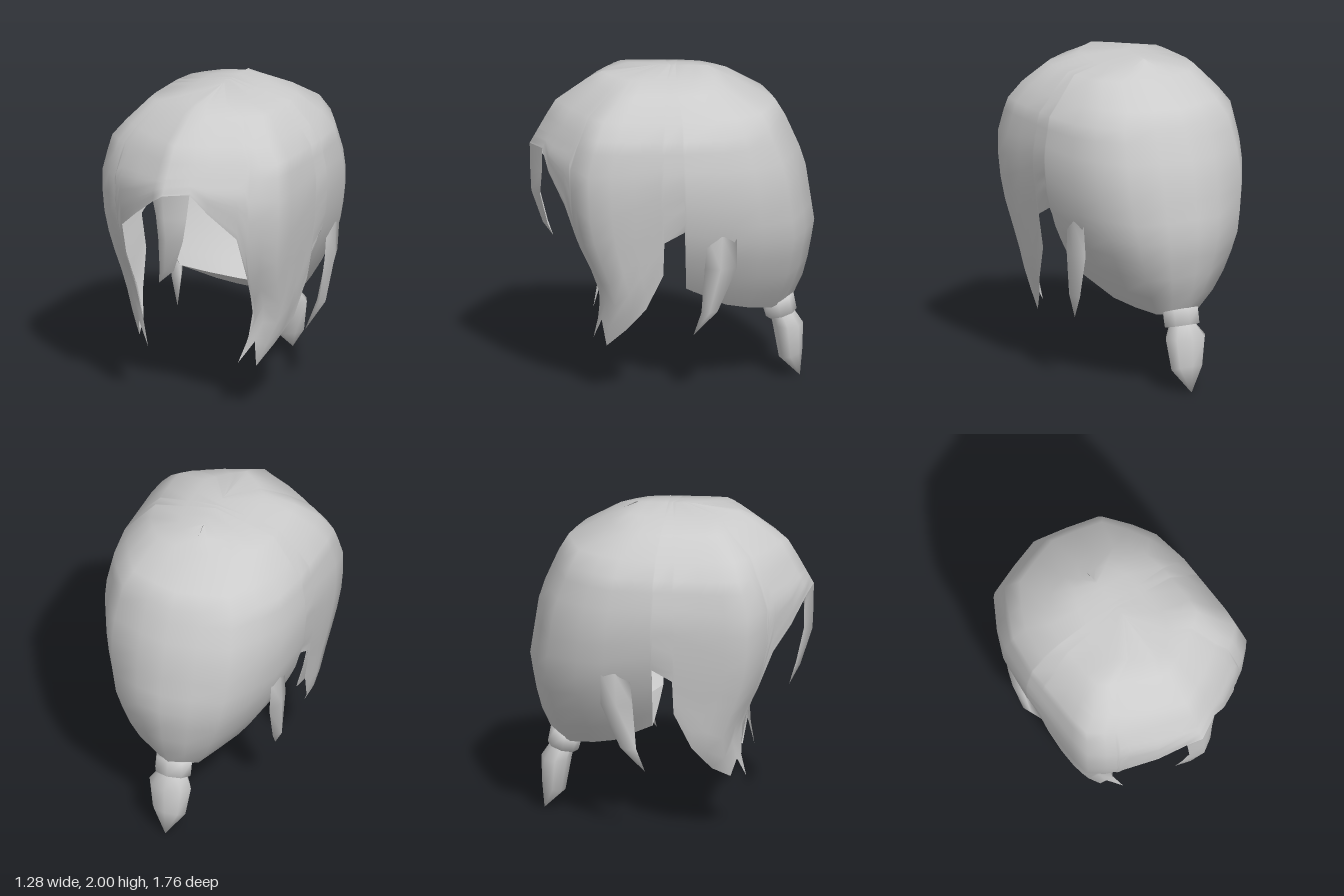
import * as THREE from 'three';
import { mergeVertices } from 'three/addons/utils/BufferGeometryUtils.js';

const material = new THREE.MeshStandardMaterial({ color: 0xcccccc, side: THREE.DoubleSide });

// Smooth surface through rows of points; closed joins the last column to the first.
function loft(name, rows, closed = false) {
  const n = rows[0].length, index = [];
  for (let i = 0; i < rows.length - 1; i++) {
    for (let j = 0; j < (closed ? n : n - 1); j++) {
      const k = (j + 1) % n;
      const a = i * n + j, b = i * n + k, c = a + n, d = b + n;
      index.push(a, c, b, b, c, d);
    }
  }
  let geometry = new THREE.BufferGeometry();
  geometry.setAttribute('position', new THREE.Float32BufferAttribute(rows.flat(2), 3));
  geometry.setIndex(index);
  geometry = mergeVertices(geometry, 1e-4);
  geometry.computeVertexNormals();
  const mesh = new THREE.Mesh(geometry, material);
  mesh.name = name;
  return mesh;
}

// Height, then half width and depth of the front half, then of the back half.
const profile = [
  [2, 0, 0.12, 0, 0.22],
  [1.96, 0.2, 0.44, 0.2, 0.3],
  [1.915, 0.4, 0.53, 0.4, 0.39],
  [1.78, 0.515, 0.72, 0.515, 0.64],
  [1.68, 0.595, 0.78, 0.595, 0.7],
  [1.5, 0.63, 0.88, 0.63, 0.78],
  [1.4, 0.64, 0.88, 0.64, 0.82],
  [1.2, 0.625, 0.87, 0.625, 0.85],
  [1.0, 0.6, 0.81, 0.575, 0.88],
  [0.83, 0.57, 0.71, 0.5, 0.85],
  [0.68, 0.555, 0.61, 0.41, 0.82],
  [0.53, 0.52, 0.6, 0.3, 0.75],
  [0.47, 0.48, 0.65, 0.23, 0.71],
  [0.3, 0.405, 0.69, 0.1, 0.65],
];

function sizeAt(y) {
  let i = 0;
  while (i < profile.length - 2 && profile[i + 1][0] > y) i++;
  const p = profile[i], q = profile[i + 1];
  const t = (p[0] - y) / (p[0] - q[0]);
  return p.map((v, k) => v + (q[k] - v) * t);
}

function onHead(u, v, y) {
  const [, wf, df, wb, db] = sizeAt(y);
  return v > 0 ? [u * wf, y, v * df] : [u * wb, y, v * db];
}

// Fringe notches: x ratio, z ratio, height
const leftNotch = [0.24, 0.92, 1.51], rightNotch = [-0.14, 0.95, 1.44], fringeRoot = [0, 1, 1.5];

// Columns round half the head, behind the notch: x ratio, z ratio, height of the lower edge.
const halfColumns = (left) => [
  [0.4, 0.87, left ? 1.39 : 1.31], [0.65, 0.765, left ? 1.22 : 1.18],
  // side lock: curved front edge, then two tips
  [0.72, 0.73, 0.94], [0.73, 0.725, 0.7], [0.74, 0.72, 0.5], [0.75, 0.715, 0.34],
  [0.84, 0.68, 0.48], [0.98, 0.59, left ? 0.31 : 0.37], [1, 0.43, 0.43],
  [1, 0.27, 0.58], [1, 0.08, 0.81],
  // gap above the ear
  [1, 0.06, 1.03], [1, -0.09, 1.1],
  // back of the head
  [1, -0.105, 0.68], [0.94, -0.44, 0.54], [0.81, -0.64, 0.5],
  [0.62, -0.86, 0.48], [0.3, -0.94, 0.49],
];

function hairCap() {
  const mirrored = halfColumns(false).map(([u, v, e]) => [-u, v, e]).reverse();
  const columns = [fringeRoot, leftNotch, ...halfColumns(true), [0, -1, 0.53], ...mirrored, rightNotch];
  const rows = profile.slice(0, 5).map(([y]) => columns.map(([u, v]) => onHead(u, v, y)));
  const steps = 9;
  for (let i = 0; i <= steps; i++) {
    rows.push(columns.map(([u, v, e]) => onHead(u, v, 1.6 + (e - 1.6) * i / steps)));
  }
  return loft('hairCap', rows, true);
}

// Underside from the lip behind the face to the nape
function nape() {
  const rows = halfColumns(true).slice(-5).map(([u, v, e]) =>
    [-1, -0.5, 0, 0.5, 1].map((s) => {
      const [x, y, z] = onHead(u, v, e);
      return [x * s, y - 0.015 * (1 - s * s), z];
    }));
  rows.push(Array(5).fill(onHead(0, -1, 0.53)));
  return loft('nape', rows);
}

// Pointed lock between the eyes, hanging from the edge of the cap
function fringe() {
  const spans = [[1.35, -0.075, 0.01, 0.13], [1.2, -0.06, 0.02, 0.11],
    [0.98, -0.08, -0.03, 0.02], [0.87, -0.105, -0.105, -0.105]];
  const root = [rightNotch, fringeRoot, leftNotch].map((p) => onHead(...p));
  return loft('fringe', [root, ...spans.map(([y, a, mid, b]) => [a, mid, b].map((x) =>
    [x, y, sizeAt(y)[2] - 0.6 * Math.abs(x - mid)]))]);
}

// Thin lock behind the ear: height, front z, back z, x, thickness
function earLock(side) {
  const spans = [[1.06, -0.22, -0.4, 0.555, 0.01], [0.85, -0.2, -0.4, 0.55, 0.02],
    [0.56, -0.18, -0.28, 0.52, 0.02], [0.39, -0.13, -0.13, 0.45, 0]];
  return loft(side > 0 ? 'leftEarLock' : 'rightEarLock', spans.map(([y, a, b, x, thick]) => {
    const mid = (a + b) / 2;
    const ring = [[x, y, a], [x + thick, y, mid], [x - thick, y, b], [x - 2 * thick, y, mid]];
    if (side > 0) ring.reverse();
    return ring.map(([px, py, pz]) => [px * side, py, pz]);
  }), true);
}

// Eight-sided rings along a leaning axis: front y and z, back y and z, half width
function rings(name, list) {
  return loft(name, list.map(([yf, zf, yb, zb, w]) => Array.from({ length: 8 }, (_, i) => {
    const a = i * Math.PI / 4, t = (1 - Math.cos(a)) / 2;
    return [Math.sin(a) * w, yf + (yb - yf) * t, zf + (zb - zf) * t];
  })), true);
}

export function createModel() {
  const group = new THREE.Group();
  group.name = 'hair';
  group.add(hairCap(), nape(), fringe(), earLock(1), earLock(-1));
  group.add(rings('hairTie', [
    [0.47, -0.62, 0.52, -0.7, 0.03],
    [0.465, -0.555, 0.535, -0.75, 0.12],
    [0.38, -0.58, 0.43, -0.77, 0.12],
    [0.39, -0.63, 0.42, -0.72, 0.04],
  ]));
  group.add(rings('ponytail', [
    [0.42, -0.6, 0.43, -0.75, 0.08],
    [0.34, -0.62, 0.34, -0.81, 0.14],
    [0.12, -0.66, 0.17, -0.805, 0.11],
    [0, -0.79, 0, -0.79, 0],
  ]));
  return group;
}
